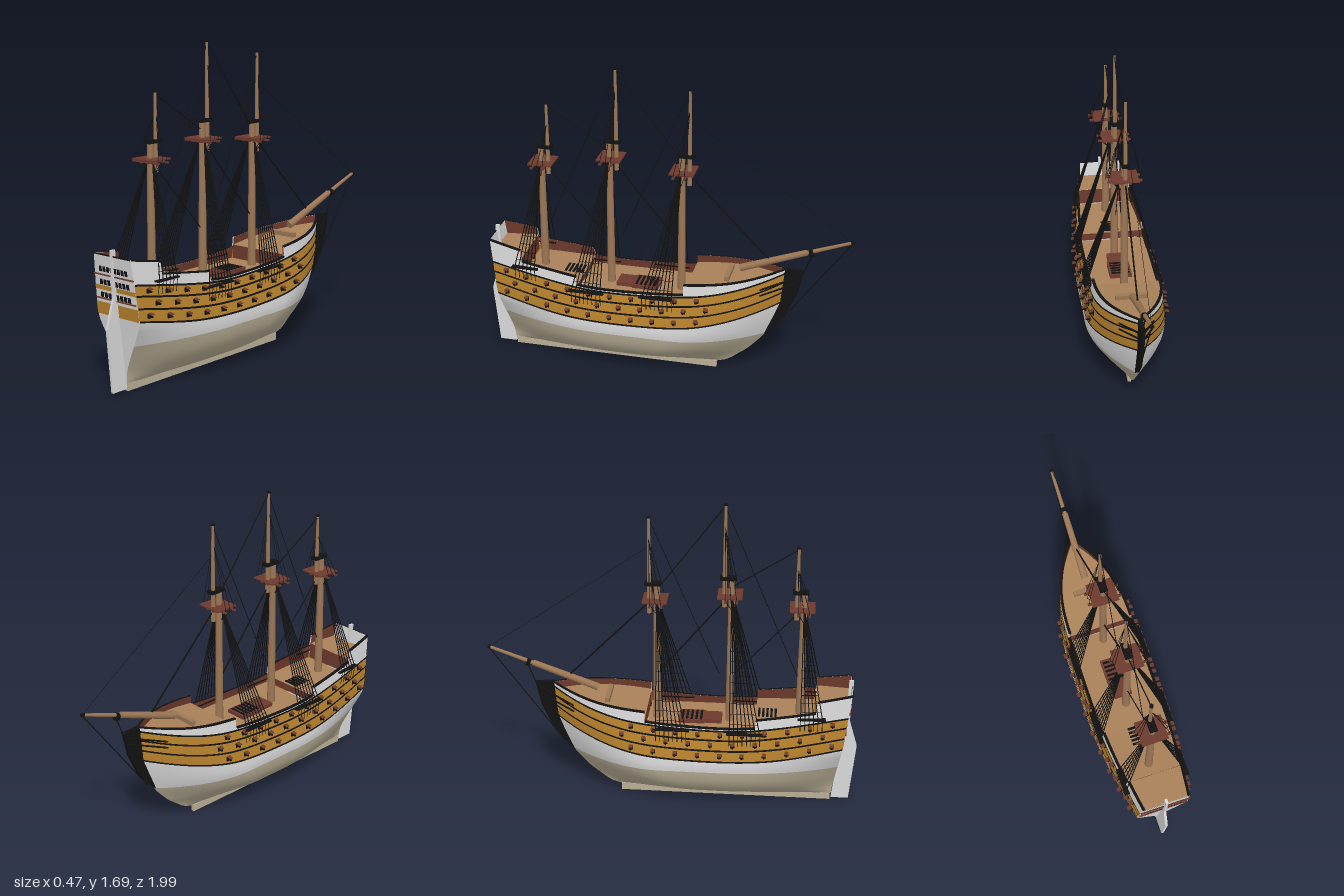
import * as THREE from 'three';
import { mergeGeometries } from 'three/addons/utils/BufferGeometryUtils.js';

const mat = (name, color) => {
  const m = new THREE.MeshStandardMaterial({ color, side: THREE.DoubleSide });
  m.name = name;
  return m;
};

// smooth interpolation through [position, value] pairs
const curve = (p) => (t) => {
  if (t <= p[0][0]) return p[0][1];
  const n = p.length - 1;
  if (t >= p[n][0]) return p[n][1];
  let i = 0;
  while (t > p[i + 1][0]) i++;
  const slope = (k) => {
    const a = p[Math.max(k - 1, 0)], b = p[Math.min(k + 1, n)];
    return (b[1] - a[1]) / (b[0] - a[0]);
  };
  const h = p[i + 1][0] - p[i][0], s = (t - p[i][0]) / h, s2 = s * s, s3 = s2 * s;
  return (2 * s3 - 3 * s2 + 1) * p[i][1] + (s3 - 2 * s2 + s) * h * slope(i)
    + (3 * s2 - 2 * s3) * p[i + 1][1] + (s3 - s2) * h * slope(i + 1);
};

// hull lines: stem, stern post, midship section, transom and painted sheer
const stemZ = curve([[0.035, -0.28], [0.05, -0.33], [0.1, -0.4], [0.15, -0.46], [0.26, -0.55], [0.45, -0.625], [0.66, -0.645]]);
const sternZ = (y) => 0.87 + 0.123 * y;
const midW = curve([[0.035, 0.008], [0.05, 0.06], [0.1, 0.135], [0.15, 0.177], [0.2, 0.2], [0.27, 0.214], [0.33, 0.212], [0.4, 0.203], [0.5, 0.188], [0.72, 0.165]]);
const transomW = curve([[0.035, 0.006], [0.1, 0.015], [0.2, 0.06], [0.3, 0.11], [0.37, 0.14], [0.5, 0.14], [0.72, 0.125]]);
const bandLow = curve([[-0.64, 0.45], [-0.4, 0.385], [-0.2, 0.345], [0, 0.325], [0.3, 0.32], [0.6, 0.335], [0.95, 0.39]]);
const bandTop = curve([[-0.64, 0.625], [-0.4, 0.565], [-0.2, 0.525], [0, 0.503], [0.3, 0.493], [0.5, 0.507], [0.95, 0.575]]);

const halfWidth = (z, y) => {
  const bow = THREE.MathUtils.clamp((z - stemZ(y)) / 0.5, 0, 1);
  const run = THREE.MathUtils.clamp((sternZ(y) - z) / 0.62, 0, 1);
  const t = transomW(y);
  const w = t + (midW(y) - t) * (1 - (1 - run) ** 2);
  return w * (1 - (1 - bow) ** (1.5 + Math.min(1, y / 0.5)));
};
const nominalZ = (u) => 0.945 - 1.588 * u;
const uAt = (z) => (0.945 - z) / 1.588;
const hullZ = (u, y) => THREE.MathUtils.lerp(sternZ(y), stemZ(y), u);

// rectangular grid of points from a rule f(a, b), both 0..1
function grid(na, nb, f) {
  const pos = [], idx = [];
  for (let i = 0; i <= na; i++) for (let j = 0; j <= nb; j++) pos.push(...f(i / na, j / nb));
  for (let i = 0; i < na; i++) for (let j = 0; j < nb; j++) {
    const a = i * (nb + 1) + j, b = a + nb + 1;
    idx.push(a, b, a + 1, b, b + 1, a + 1);
  }
  const g = new THREE.BufferGeometry();
  g.setAttribute('position', new THREE.Float32BufferAttribute(pos, 3));
  g.setIndex(idx);
  g.computeVertexNormals();
  return g;
}

// band along both hull sides between two height rules
function hullBand(low, high, rows, off = 0, u0 = 0, u1 = 1) {
  return mergeGeometries([1, -1].map((side) => grid(60, rows, (a, b) => {
    const u = u0 + (u1 - u0) * (1 - (1 - a) ** 1.5), z0 = nominalZ(u);
    const y = THREE.MathUtils.lerp(low(z0), high(z0), b), z = hullZ(u, y);
    return [side * Math.max(0, halfWidth(z, y) + off), y, z];
  })));
}

const box = (w, h, d, x, y, z) => new THREE.BoxGeometry(w, h, d).translate(x, y, z);

// tapered round spar or rope between two points
function spar(a, b, r0, r1 = r0, sides = 5) {
  const A = new THREE.Vector3(...a), d = new THREE.Vector3(...b).sub(A);
  const g = new THREE.CylinderGeometry(r1, r0, d.length(), sides);
  g.applyQuaternion(new THREE.Quaternion().setFromUnitVectors(new THREE.Vector3(0, 1, 0), d.clone().normalize()));
  return g.translate(A.x + d.x / 2, A.y + d.y / 2, A.z + d.z / 2);
}

// flat plate on the centre line, outlined by [z, y] points
function plate(points, thick) {
  const s = new THREE.Shape(points.map((p) => new THREE.Vector2(...p)));
  return new THREE.ExtrudeGeometry(s, { depth: thick, bevelEnabled: false }).rotateY(-Math.PI / 2).translate(thick / 2, 0, 0);
}

export function createModel() {
  const white = mat('paleGrey', 0xd9d9d9), beige = mat('bottomBeige', 0xb9af96), ochre = mat('ochre', 0xba842d);
  const black = mat('black', 0x121212), wood = mat('sparWood', 0x9b7654), deckMat = mat('deckTan', 0xa98159), red = mat('darkRed', 0x6e3a2d);
  const ship = new THREE.Group();
  ship.name = 'sailingShip';
  const add = (name, geo, m) => {
    const mesh = new THREE.Mesh(Array.isArray(geo) ? mergeGeometries(geo) : geo, m);
    mesh.name = name;
    ship.add(mesh);
  };

  // hull shell in painted bands
  add('hullBottom', hullBand(() => 0.035, () => 0.25, 14), beige);
  add('hullSide', hullBand(() => 0.25, bandLow, 5), white);
  add('gunBand', hullBand(bandLow, bandTop, 6), ochre);
  const level = (f) => (z) => bandLow(z) + f * (bandTop(z) - bandLow(z));
  add('wales', [0, 0.36, 0.7, 1].map((f) => hullBand((z) => level(f)(z) - 0.005, (z) => level(f)(z) + 0.005, 1, 0.003)), black);
  add('keel', box(0.018, 0.04, 1.15, 0, 0.02, 0.295), beige);
  add('rudder', plate([[0.875, 0.012], [0.97, 0.012], [1, 0.34], [0.955, 0.49], [0.965, 0.73], [0.94, 0.73], [0.935, 0.5]], 0.014), white);
  add('prow', plate([[-0.54, 0.25], [-0.62, 0.45], [-0.64, 0.655], [-0.74, 0.65], [-0.71, 0.51], [-0.64, 0.36]], 0.022), black);

  // bulwarks, inner linings, rails and decks: [aft z, fore z, rail rule, deck rule]
  const decks = [
    [0.945, 0.77, curve([[0.77, 0.667], [0.945, 0.7]]), () => 0.62],
    [0.77, 0.46, curve([[0.46, 0.562], [0.77, 0.605]]), curve([[0.46, 0.51], [0.77, 0.53]])],
    [0.46, -0.13, (z) => bandTop(z) + 0.015, () => 0.465],
    [-0.13, -0.643, curve([[-0.643, 0.652], [-0.4, 0.612], [-0.13, 0.583]]), curve([[-0.643, 0.61], [-0.13, 0.54]])],
  ];
  const outer = [], lining = [], rails = [], planks = [];
  for (const [z0, z1, rail, deck] of decks) {
    const u0 = uAt(z0), u1 = uAt(z1);
    outer.push(hullBand(bandTop, rail, 2, 0, u0, u1));
    lining.push(hullBand(deck, rail, 2, -0.008, u0, u1));
    rails.push(hullBand((z) => rail(z) - 0.006, (z) => rail(z) + 0.002, 1, 0.003, u0, u1));
    for (const side of [1, -1]) rails.push(grid(40, 1, (a, b) => {
      const u = u0 + (u1 - u0) * a, y = rail(nominalZ(u)) + 0.002, z = hullZ(u, y);
      return [side * Math.max(0, halfWidth(z, y) + 0.003 - b * 0.014), y, z];
    }));
    planks.push(grid(40, 2, (a, b) => {
      const u = u0 + (u1 - u0) * a, y = deck(nominalZ(u)), z = hullZ(u, y);
      return [(1 - 2 * b) * Math.max(0, halfWidth(z, y) - 0.004), y, z];
    }));
  }
  add('bulwarks', outer, white);
  add('bulwarkLining', lining, red);
  add('rails', rails, black);
  add('decks', planks, deckMat);
  add('bulkheads', [[0.77, 0.53, 0.62], [0.46, 0.465, 0.51], [-0.13, 0.465, 0.54]].map(([z, y0, y1]) =>
    grid(1, 1, (a, b) => [(1 - 2 * a) * (halfWidth(z, y1) - 0.005), y0 + (y1 - y0) * b, z])), red);

  // stern face with painted stripes and window rows
  const sternPatch = (y0, y1, x0, x1, off) => grid(16, 1, (a, b) => {
    const y = y0 + (y1 - y0) * a, w = transomW(y);
    return [w * (x0 + (x1 - x0) * b), y, sternZ(y) + off];
  });
  add('transom', sternPatch(0.035, 0.7, 1, -1, 0), white);
  add('transomStripes', [[0.385, 0.45], [0.515, 0.538]].map(([a, b]) => sternPatch(a, b, 1, -1, 0.002)), ochre);
  const windows = [sternPatch(0.695, 0.703, 1, -1, 0.003)];
  for (const y of [0.49, 0.557, 0.625]) for (let i = -4; i < 4; i++) {
    const x = (i + 0.5) * 0.19;
    windows.push(sternPatch(y - 0.014, y + 0.014, x + 0.075, x - 0.075, 0.004));
  }
  add('sternWindows', windows, black);
  add('sternLedges', [0.471, 0.595].map((y) => box(0.27, 0.006, 0.01, 0, y, sternZ(y) + 0.003)), red);

  // gun ports with open lids
  const ports = [], lids = [];
  [0.19, 0.54, 0.86].forEach((f, row) => {
    for (let i = 0; i < 10; i++) for (const side of [1, -1]) {
      const z = 0.86 - i * 0.118 - (row % 2) * 0.05, y = level(f)(z), x = halfWidth(z, y);
      ports.push(box(0.012, 0.022, 0.022, side * x, y, z));
      ports.push(box(0.03, 0.008, 0.008, side * (x + 0.008), y - 0.002, z));
      lids.push(box(0.022, 0.004, 0.022, 0, 0, 0).rotateZ(-side * 0.3).translate(side * (x + 0.013), y + 0.012, z));
    }
  });
  add('gunPorts', ports, black);
  add('portLids', lids, red);

  // deck fittings
  add('hatches', [box(0.12, 0.02, 0.14, 0, 0.475, 0.11), box(0.1, 0.02, 0.1, 0, 0.475, 0.22)], red);
  const grates = [];
  for (let i = 0; i < 5; i++) grates.push(box(0.1, 0.004, 0.012, 0, 0.487, 0.06 + i * 0.025), box(0.09, 0.006, 0.012, 0, 0.517, 0.37 + i * 0.022 + 0.1));
  add('gratings', grates, black);
  add('catBeam', box(0.17, 0.024, 0.026, 0, 0.595, -0.34), wood);

  // bowsprit
  add('bowsprit', [spar([0, 0.63, -0.4], [0, 0.76, -0.75], 0.02, 0.016, 12), spar([0, 0.745, -0.71], [0, 0.845, -0.985], 0.012, 0.008, 10)], wood);
  add('bowspritBands', [spar([0, 0.756, -0.765], [0, 0.764, -0.785], 0.02, 0.02, 10), spar([0, 0.842, -0.977], [0, 0.847, -0.99], 0.011, 0.011, 10)], black);
  const heads = [];
  for (const s of [1, -1]) for (const k of [0, 0.035]) heads.push(spar([s * halfWidth(-0.52, 0.52 + k), 0.52 + k, -0.52], [s * 0.01, 0.58 + k, -0.71], 0.005));
  add('headRails', heads, black);

  // masts, tops, shrouds: z, base, lower top, platform, topmast z, heel, truck, shroud foot z and height
  const masts = [
    { z: 0.685, base: 0.52, cap: 1.22, top: 1.14, tz: 0.648, heel: 1.07, truck: 1.47, foot: 0.69, fy: 0.575, n: 6 },
    { z: 0.31, base: 0.46, cap: 1.285, top: 1.2, tz: 0.272, heel: 1.13, truck: 1.69, foot: 0.32, fy: 0.485, n: 8 },
    { z: -0.08, base: 0.46, cap: 1.24, top: 1.16, tz: -0.12, heel: 1.08, truck: 1.61, foot: -0.07, fy: 0.495, n: 8 },
  ];
  const spars = [], caps = [], tops = [], shrouds = [], channels = [];
  for (const m of masts) {
    spars.push(spar([0, m.base, m.z], [0, m.cap, m.z], 0.022, 0.016, 14), spar([0, m.heel, m.tz], [0, m.truck, m.tz], 0.013, 0.007, 10));
    caps.push(box(0.04, 0.018, 0.085, 0, m.cap + 0.005, (m.z + m.tz) / 2), spar([0, m.truck - 0.006, m.tz], [0, m.truck + 0.002, m.tz], 0.011, 0.011, 8));
    tops.push(box(0.14, 0.007, 0.13, 0, m.top, m.z - 0.008));
    for (const k of [-1, 1]) tops.push(box(0.18, 0.01, 0.012, 0, m.top - 0.012, m.z + k * 0.03), box(0.012, 0.012, 0.11, k * 0.022, m.top - 0.012, m.z - 0.008));
    for (const s of [1, -1]) {
      const foot = (i) => {
        const z = m.foot + i * 0.023;
        return [s * (halfWidth(z, m.fy) + 0.018), m.fy, z];
      };
      const head = [s * 0.014, m.top + 0.005, m.z];
      for (let i = 0; i < m.n; i++) {
        shrouds.push(spar(foot(i), head, 0.0028));
        const f = foot(i);
        shrouds.push(spar(f, [s * (halfWidth(f[2], f[1] - 0.07) + 0.003), f[1] - 0.07, f[2]], 0.002, 0.002, 4));
      }
      // ratlines across the shrouds
      for (let k = 1; k < 11; k++) {
        const at = (i) => foot(i).map((v, c) => THREE.MathUtils.lerp(v, head[c], k * 0.075));
        shrouds.push(spar(at(0), at(m.n - 1), 0.0015, 0.0015, 4));
      }
      const mid = foot((m.n - 1) / 2);
      channels.push(box(0.032, 0.008, m.n * 0.023 + 0.01, mid[0] - s * 0.012, m.fy, mid[2]));
      // topmast shrouds
      for (let i = -1; i < 2; i++) {
        shrouds.push(spar([s * 0.085, m.top, m.z + i * 0.03], [s * 0.007, m.truck - 0.12, m.tz], 0.0016, 0.0016, 4));
        shrouds.push(spar([s * 0.085, m.top, m.z + i * 0.03], [s * 0.018, m.top - 0.08, m.z], 0.0016, 0.0016, 4));
      }
    }
  }
  add('masts', spars, wood);
  add('mastCaps', caps, black);
  add('mastTops', tops, red);
  add('shrouds', shrouds, black);
  add('channels', channels, black);

  // stays on the centre line: aft z, y, fore z, y, radius
  add('stays', [
    [0.65, 1.46, 0.31, 1.24, 0.003], [0.65, 1.1, 0.31, 0.72, 0.003], [0.27, 1.68, 0.67, 0.73, 0.0022],
    [0.27, 1.68, -0.08, 1.21, 0.003], [0.29, 1.18, -0.06, 0.75, 0.004], [-0.12, 1.6, 0.25, 0.74, 0.0022],
    [-0.1, 1.16, -0.56, 0.69, 0.0045], [-0.12, 1.45, -0.985, 0.845, 0.0012],
    [-0.985, 0.84, -0.59, 0.29, 0.003], [-0.78, 0.755, -0.65, 0.4, 0.003],
  ].map(([z0, y0, z1, y1, r]) => spar([0, y0, z0], [0, y1, z1], r)), black);
  return ship;
}
